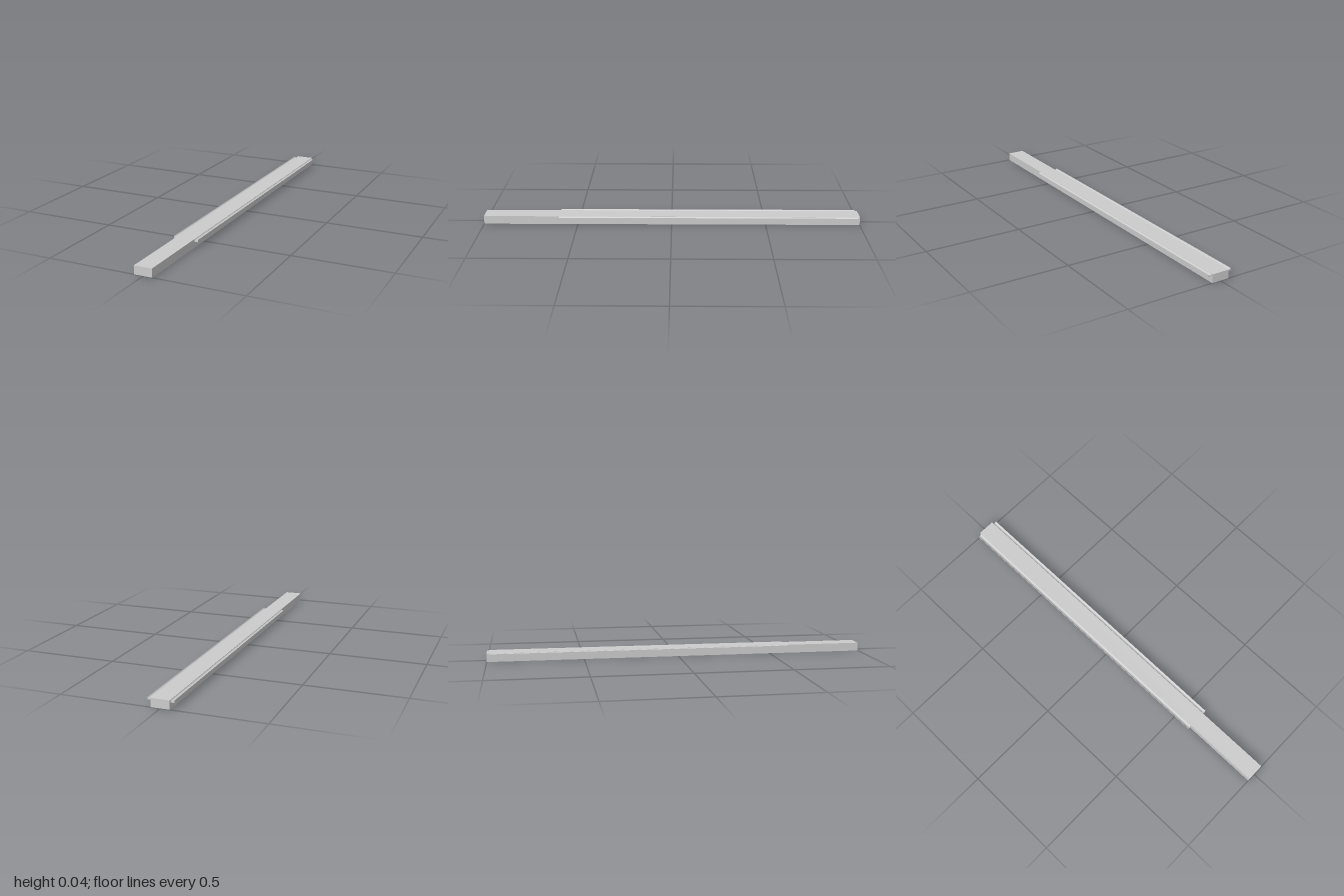
import * as THREE from 'three';

export function createModel() {
  const group = new THREE.Group();
  const material = new THREE.MeshStandardMaterial({ color: 0xcccccc });
  const halfWidth = 0.046, height = 0.0435;

  // Long rectangular bar
  const bar = new THREE.Mesh(new THREE.BoxGeometry(halfWidth * 2, height, 2), material);
  bar.name = 'bar';
  bar.position.y = height / 2;
  group.add(bar);

  // Grooved side rail: flat underside, round channel along the top
  const outer = 0.0655, bottom = 0.0305, top = 0.043, depth = 0.007;
  const half = (outer - halfWidth) / 2;
  const radius = (half * half + depth * depth) / (2 * depth);
  const centreY = top - depth + radius;
  const sweep = Math.asin(half / radius);

  function makeRail(side) {
    const profile = new THREE.Shape();
    profile.moveTo(side * halfWidth, bottom);
    profile.lineTo(side * outer, bottom);
    profile.lineTo(side * outer, top);
    profile.absarc(side * (halfWidth + half), centreY, radius,
      -Math.PI / 2 + side * sweep, -Math.PI / 2 - side * sweep, side > 0);
    profile.closePath();
    const geometry = new THREE.ExtrudeGeometry(profile, {
      depth: 1.59, bevelEnabled: false, curveSegments: 16,
    });
    const rail = new THREE.Mesh(geometry, material);
    rail.name = side > 0 ? 'leftRail' : 'rightRail';
    rail.position.z = -0.99;
    return rail;
  }
  for (const side of [1, -1]) group.add(makeRail(side));

  return group;
}
